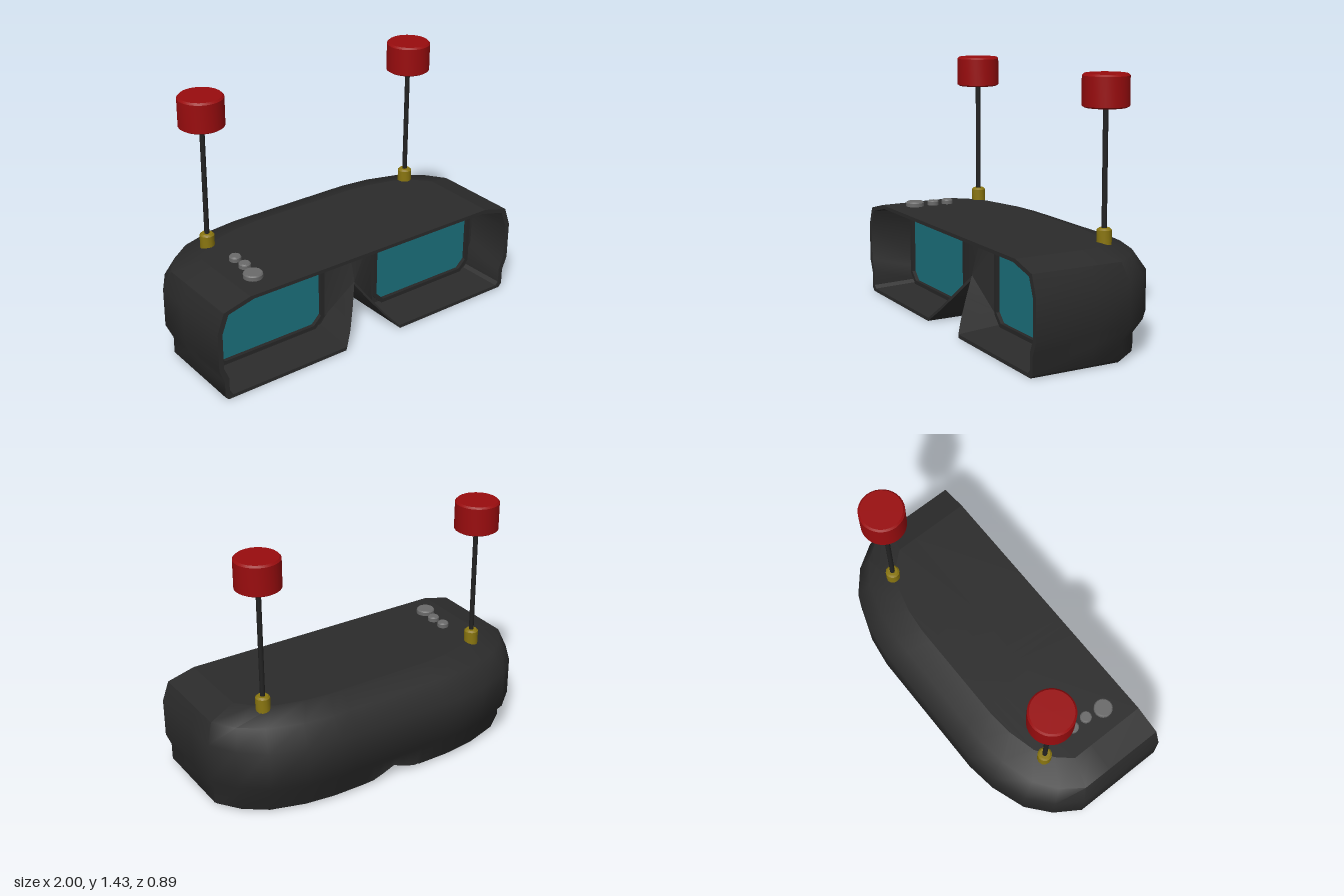
import * as THREE from 'three';
import { toCreasedNormals } from 'three/addons/utils/BufferGeometryUtils.js';

const mat = (color, side = THREE.FrontSide) => new THREE.MeshStandardMaterial({ color, side });
const SHELL = mat(0x2b2b2b, THREE.DoubleSide);
const RIM = mat(0x272727), GLASS = mat(0x1b717d), ROD = mat(0x222222);
const GOLD = mat(0x8a7610), RED = mat(0x990c0e), GREY = mat(0x6a6a6a);

// Plan of the shell, front to back: [z, half width]
const PLAN = [[0.445, 1], [0.1, 1], [-0.1, 1], [-0.24, 0.91], [-0.35, 0.78], [-0.42, 0.58], [-0.445, 0.4]];
// Heights of the shell: [y, side inset, back inset]
const LEVELS = [[0, 0.05, 0.095], [0.02, 0.03, 0.075], [0.115, 0.03, 0.075], [0.19, 0, 0],
  [0.41, 0, 0], [0.52, 0.04, 0.085], [0.562, 0.2, 0.225]];
const TOP = LEVELS.length - 1;
const INNER_X = [-0.3, -0.2, -0.14, -0.07, 0, 0.07, 0.14, 0.2, 0.3];
const columns = (w) => [-w, ...INNER_X, w];

// A point of the shell, with the nose notch lifting the underside
function shellPoint(x, z, level) {
  const [y, insetX, insetZ] = LEVELS[level];
  const n = Math.max(0, 1 - Math.abs(x) / 0.2) ** 1.15;
  const notch = n * THREE.MathUtils.mapLinear(z, 0.445, -0.445, 0.26, 0.07);
  const back = THREE.MathUtils.clamp((0.1 - z) / 0.545, 0, 1);
  const cut = level === 0 && z > 0.4 ? 0.18 * n : 0;
  return new THREE.Vector3(x * (1 - insetX), Math.max(y, notch), z + insetZ * back - cut);
}

// Skin rows of points with quads
function skin(rows, crease = 0.9) {
  const pts = [];
  for (let i = 0; i < rows.length - 1; i++) {
    for (let j = 0; j < rows[i].length - 1; j++) {
      const a = rows[i][j], b = rows[i + 1][j], c = rows[i + 1][j + 1], d = rows[i][j + 1];
      pts.push(a, b, d, b, c, d);
    }
  }
  return toCreasedNormals(new THREE.BufferGeometry().setFromPoints(pts), crease);
}

// Rectangle with cut corners
function cutRect(Type, x0, x1, y0, y1, c) {
  return new Type([[x0 + c, y0], [x1 - c, y0], [x1, y0 + c], [x1, y1 - c], [x1 - c, y1], [x0 + c, y1], [x0, y1 - c], [x0, y0 + c]]
    .map(([x, y]) => new THREE.Vector2(x, y)));
}

function lathe(profile, sides, crease = 0.6) {
  return toCreasedNormals(new THREE.LatheGeometry(profile.map(([r, y]) => new THREE.Vector2(r, y)), sides), crease);
}

export function createModel() {
  const model = new THREE.Group();
  const add = (name, geometry, material, x = 0, y = 0, z = 0, parent = model) => {
    const mesh = new THREE.Mesh(geometry, material);
    mesh.name = name;
    mesh.position.set(x, y, z);
    parent.add(mesh);
    return mesh;
  };

  // Outer shell: top, underside and the wall round the sides and back
  const cap = (level) => PLAN.map(([z, w]) => columns(w).map((x) => shellPoint(x, z, level)));
  add('shellTop', skin(cap(TOP).reverse()), SHELL);
  add('shellUnderside', skin(cap(0)), SHELL);
  const [zBack, wBack] = PLAN[PLAN.length - 1];
  const ring = [
    ...PLAN.slice(0, -1).map(([z, w]) => [w, z]),
    ...columns(wBack).reverse().map((x) => [x, zBack]),
    ...PLAN.slice(0, -1).reverse().map(([z, w]) => [-w, z]),
  ];
  add('shellWall', skin(LEVELS.map((_, k) => ring.map(([x, z]) => shellPoint(x, z, k))).reverse()), SHELL);

  // Hollow front: thin rim, inner walls and the plate behind
  const zf = PLAN[0][0];
  const levels = LEVELS.map((_, k) => k);
  const outline = [
    ...columns(1).map((x) => shellPoint(x, zf, TOP)),
    ...levels.slice(1, -1).reverse().map((k) => shellPoint(1, zf, k)),
    ...columns(1).reverse().map((x) => shellPoint(x, zf, 0)),
    ...levels.slice(1, -1).map((k) => shellPoint(-1, zf, k)),
  ];
  const shrink = (sx, gap, z) => outline.map((p) => {
    const notch = Math.abs(p.x) < 0.25 && p.y < 0.4;
    const y = notch ? p.y + gap : THREE.MathUtils.mapLinear(p.y, 0, 0.562, gap, 0.562 - gap);
    return new THREE.Vector3(p.x * sx, y, z ?? p.z);
  });
  const deep = shrink(0.945, 0.035, 0.19);
  const close = (loop) => [...loop, loop[0]];
  add('frontRimAndInnerWalls', skin([outline, shrink(0.972, 0.02), deep].map(close), 0.6), SHELL);
  add('facePlate', new THREE.ShapeGeometry(new THREE.Shape(deep.map((p) => new THREE.Vector2(p.x, p.y)))), SHELL, 0, 0, 0.19);

  // Ridge over the nose
  const v = (x, y, z) => new THREE.Vector3(x, y, z);
  add('noseBridge', skin([
    [v(-0.19, 0.525, 0.19), v(0, 0.525, 0.2), v(0.19, 0.525, 0.19)],
    [v(-0.19, 0.05, 0.19), v(0, 0.285, 0.265), v(0.19, 0.05, 0.19)],
  ]), SHELL);

  // Screens with their frames
  for (const s of [-1, 1]) {
    const [x0, x1] = s > 0 ? [0.175, 0.9] : [-0.9, -0.175];
    const frame = cutRect(THREE.Shape, x0, x1, 0.04, 0.522, 0.06);
    frame.holes.push(cutRect(THREE.Path, x0 + 0.022, x1 - 0.022, 0.062, 0.506, 0.05));
    add('screenFrame', new THREE.ExtrudeGeometry(frame, { depth: 0.035, bevelEnabled: false }), RIM, 0, 0, 0.185);
    add('screen', new THREE.ShapeGeometry(cutRect(THREE.Shape, x0 + 0.018, x1 - 0.018, 0.058, 0.51, 0.05)), GLASS, 0, 0, 0.198);
  }

  // Antennas
  const collar = lathe([[0, 0], [0.04, 0], [0.04, 0.085], [0.03, 0.095], [0, 0.095]], 12);
  const rod = new THREE.CylinderGeometry(0.014, 0.014, 0.66, 10);
  const knob = lathe([[0, 0], [0.11, 0], [0.123, 0.008], [0.123, 0.162], [0.113, 0.172], [0, 0.172]], 32);
  for (const x of [-0.69, 0.69]) {
    const antenna = new THREE.Group();
    antenna.name = 'antenna';
    antenna.position.set(x, 0, -0.145);
    model.add(antenna);
    add('antennaCollar', collar, GOLD, 0, 0.54, 0, antenna);
    add('antennaRod', rod, ROD, 0, 0.94, 0, antenna);
    add('antennaKnob', knob, RED, 0, 1.258, 0, antenna);
  }

  // Buttons on the top
  for (const [x, z, r] of [[-0.66, 0.085, 0.033], [-0.66, 0.178, 0.033], [-0.68, 0.287, 0.053]]) {
    add('button', lathe([[0, 0], [r, 0], [r, 0.033], [r - 0.006, 0.04], [0, 0.04]], 20), GREY, x, 0.55, z);
  }
  return model;
}
